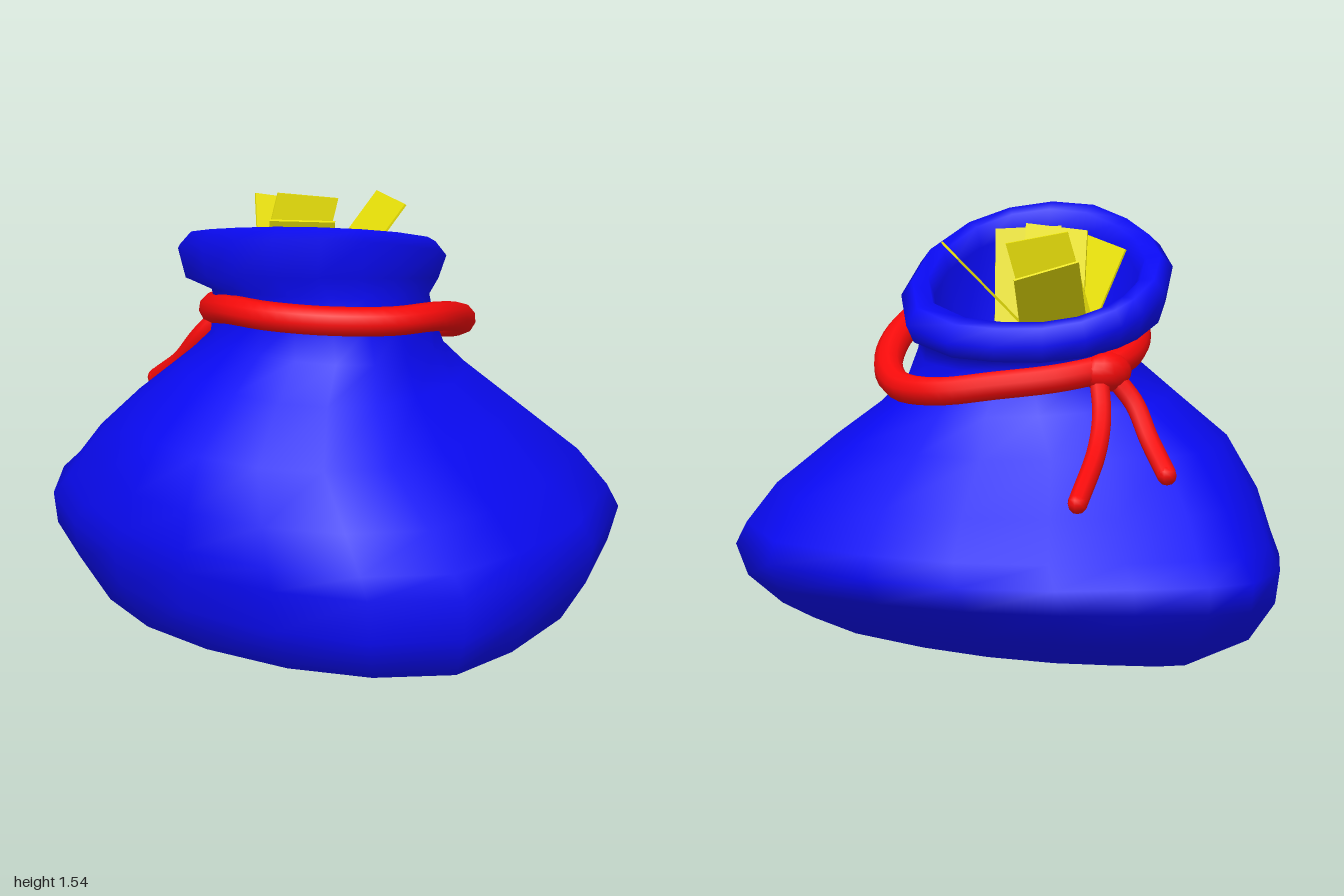
import * as THREE from 'three';

const V = (p) => new THREE.Vector3(...p);
const paint = (color) => new THREE.MeshStandardMaterial({ color, side: THREE.DoubleSide });

// Uneven plan outline of the sack belly, as x, z
const BELLY = [
  [0.13, -0.89], [0.57, -0.79], [0.84, -0.46], [0.97, -0.08], [1.0, 0.25], [0.8, 0.53],
  [0.5, 0.73], [0.14, 0.85], [-0.19, 0.88], [-0.5, 0.81], [-0.8, 0.66], [-0.99, 0.46],
  [-1.0, 0.28], [-0.92, 0.02], [-0.82, -0.24], [-0.6, -0.52], [-0.3, -0.73],
];

// Rings from the underside up to the neck:
// y, xMin, xMax, zMin, zMax, slope along x, slope along z, share of the belly outline
const OUTSIDE = [
  [0.005, 0.05, 0.05, 0.1, 0.1, 0, 0, 1],
  [0.01, -0.35, 0.5, -0.2, 0.45, 0, -0.03, 1],
  [0.035, -0.65, 0.85, -0.5, 0.64, 0.01, -0.05, 1],
  [0.1, -0.85, 0.96, -0.68, 0.79, -0.03, -0.06, 1],
  [0.23, -0.99, 0.995, -0.83, 0.86, -0.03, -0.03, 1],
  [0.35, -0.99, 1, -0.88, 0.89, 0, 0, 1],
  [0.43, -0.9, 0.94, -0.85, 0.88, 0, 0, 1],
  [0.57, -0.77, 0.84, -0.75, 0.86, 0, 0, 1],
  [0.75, -0.58, 0.64, -0.56, 0.77, 0, 0, 0.9],
  [0.9, -0.44, 0.45, -0.43, 0.56, 0, 0.05, 0.7],
  [1.0, -0.38, 0.38, -0.34, 0.43, 0.05, 0.1, 0.4],
  [1.1, -0.37, 0.34, -0.32, 0.41, 0.12, 0.17, 0.2],
  [1.17, -0.38, 0.32, -0.32, 0.41, 0.2, 0.2, 0.1],
];
// Rolled rim and lining, all on the mouth outline
const MOUTH = [
  [1.21, -0.46, 0.32, -0.39, 0.48, 0.27, 0.22],
  [1.31, -0.49, 0.345, -0.42, 0.5, 0.33, 0.3],
  [1.36, -0.46, 0.31, -0.38, 0.46, 0.33, 0.3],
  [1.36, -0.42, 0.27, -0.32, 0.41, 0.33, 0.3],
  [1.3, -0.39, 0.24, -0.3, 0.39, 0.33, 0.3],
  [1.0, -0.25, 0.25, -0.2, 0.3, 0, 0],
  [1.0, 0, 0, 0.05, 0.05, 0, 0],
];

function loft(rings) {
  const n = BELLY.length, pos = [], index = [];
  rings.forEach(([y, x0, x1, z0, z1, sx, sz, k = 0], i) => {
    for (let j = 0; j < n; j++) {
      // Mouth outline: a circle pulled out at the front right, cut in at the back right
      const u = new THREE.Vector2(BELLY[j][0], BELLY[j][1] / 0.885);
      const m = u.clone().normalize();
      m.multiplyScalar(1 - 0.3 * Math.min(m.x, 0) * m.y).lerp(u, k);
      const dx = m.x * (x1 - x0) / 2, dz = m.y * (z1 - z0) / 2;
      pos.push((x0 + x1) / 2 + dx, y + sx * dx + sz * dz, (z0 + z1) / 2 + dz);
      if (i === rings.length - 1) continue;
      const a = i * n + j, b = i * n + (j + 1) % n;
      index.push(a, a + n, b, b, a + n, b + n);
    }
  });
  const g = new THREE.BufferGeometry();
  g.setAttribute('position', new THREE.Float32BufferAttribute(pos, 3));
  g.setIndex(index);
  g.computeVertexNormals();
  return g;
}

export function createModel() {
  const model = new THREE.Group();
  const blue = paint(0x0a0af5), red = paint(0xf50a0a), yellow = paint(0xe8e008);
  const add = (name, geometry, material, parent = model) => {
    const mesh = new THREE.Mesh(geometry, material);
    mesh.name = name;
    parent.add(mesh);
    return mesh;
  };

  add('sack', loft([...OUTSIDE, ...MOUTH]), blue);

  // Cord tied around the neck
  const cord = new THREE.Group();
  cord.name = 'cord';
  model.add(cord);
  const loop = new THREE.CatmullRomCurve3([
    [-0.4, 1.06, 0.2], [-0.3, 1.1, 0.34], [-0.1, 1.17, 0.43], [0.1, 1.195, 0.41],
    [0.28, 1.2, 0.29], [0.4, 1.19, 0.1], [0.41, 1.17, -0.08], [0.31, 1.1, -0.27],
    [0.17, 1.02, -0.39], [0.03, 0.97, -0.42], [-0.14, 0.97, -0.36], [-0.28, 1.0, -0.2],
    [-0.39, 1.03, 0.02],
  ].map(V), true);
  add('cordLoop', new THREE.TubeGeometry(loop, 60, 0.052, 10, true), red, cord);

  const knot = add('knot', new THREE.SphereGeometry(0.07, 14, 10), red, cord);
  knot.position.set(-0.42, 1.04, 0.17);
  knot.scale.set(0.9, 1, 1.35);

  // Loose ends with rounded tips
  const tails = [
    [[-0.42, 1.02, 0.14], [-0.5, 0.91, 0.11], [-0.6, 0.8, 0.04], [-0.78, 0.65, -0.13]],
    [[-0.42, 1.02, 0.2], [-0.48, 0.93, 0.25], [-0.57, 0.82, 0.26], [-0.71, 0.71, 0.26]],
  ];
  for (const points of tails) {
    const path = new THREE.CatmullRomCurve3(points.map(V));
    add('cordTail', new THREE.TubeGeometry(path, 16, 0.036, 8), red, cord);
    add('cordTip', new THREE.SphereGeometry(0.036, 8, 6), red, cord).position.copy(path.getPoint(1));
  }

  // Paper notes in the mouth: two top corners, then the corner below the first
  const notes = [
    [[-0.15, 1.44, -0.28], [0.07, 1.46, -0.23], [-0.18, 1.17, -0.02]],
    [[-0.4, 1.44, 0.07], [-0.33, 1.38, -0.15], [-0.2, 1.14, 0.21]],
    [[-0.11, 1.47, -0.07], [-0.2, 1.51, 0.13], [-0.12, 1.16, 0.02]],
    [[-0.16, 1.42, 0.38], [0.06, 1.45, 0.32], [-0.2, 1.1, 0.2]],
    [[-0.06, 1.48, 0.28], [0.12, 1.49, 0.13], [-0.18, 1.17, 0.2]],
    [[0.12, 1.47, 0.27], [0.22, 1.46, 0.06], [0.03, 1.13, 0.22]],
  ];
  for (const corners of notes) {
    const [tl, tr, bl] = corners.map(V);
    const u = tr.clone().sub(tl), v = tl.clone().sub(bl);
    const w = u.clone().cross(v).normalize();
    const m = new THREE.Matrix4().makeBasis(u, v, w).setPosition(tr.clone().add(bl).multiplyScalar(0.5));
    add('paperNote', new THREE.BoxGeometry(1, 1, 0.008).applyMatrix4(m), yellow);
  }
  return model;
}
